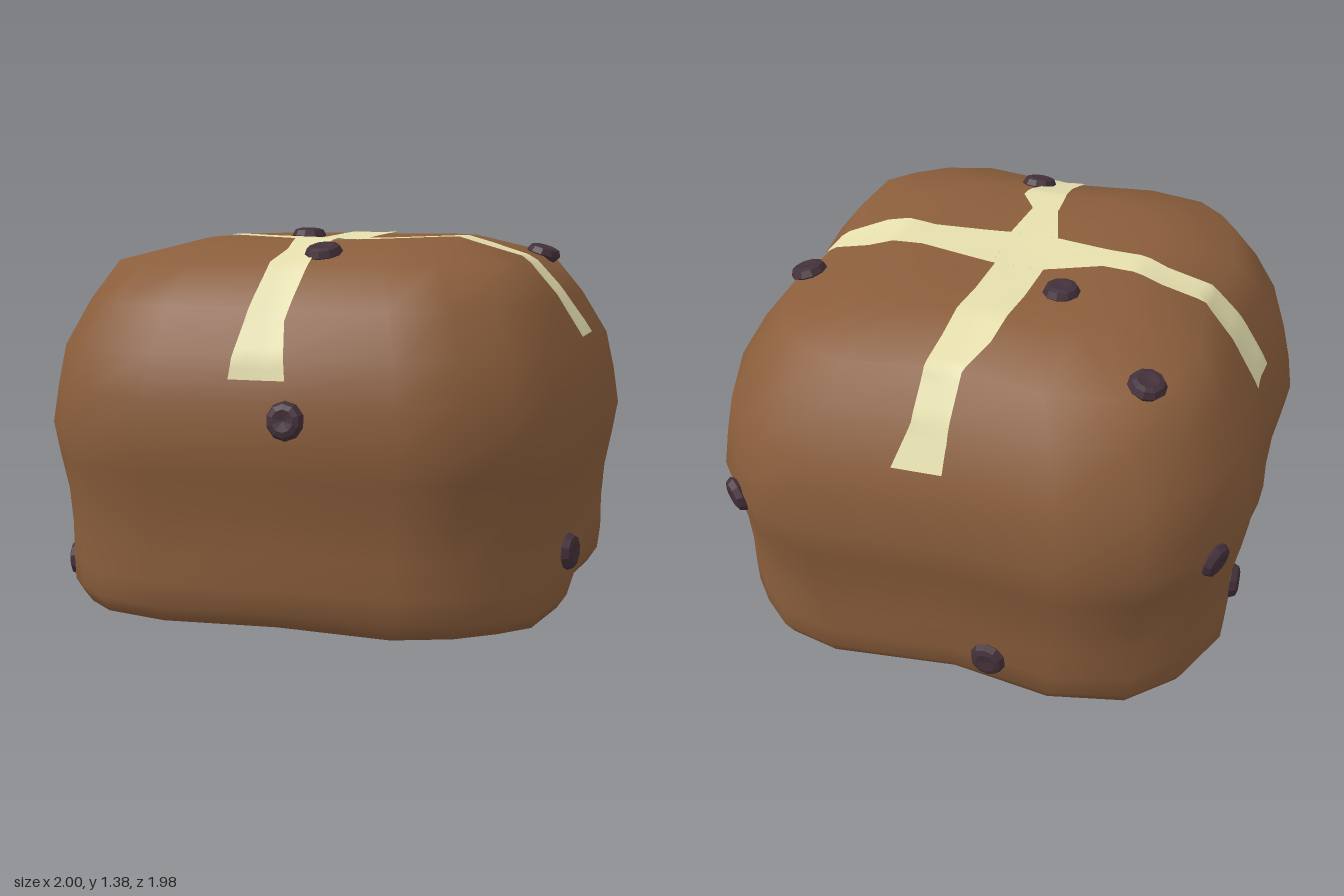
import * as THREE from 'three';

const CENTRE = new THREE.Vector3(0, 0.6, 0);
const UP = new THREE.Vector3(0, 1, 0);
const doughMat = new THREE.MeshStandardMaterial({ color: 0x8b5e3c });
const pasteMat = new THREE.MeshStandardMaterial({ color: 0xe6dfae, side: THREE.DoubleSide });
const raisinMat = new THREE.MeshStandardMaterial({ color: 0x43303a, flatShading: true });

// Widest outline of the bun as x, z, running from +x towards +z
const PLAN = [
  [0.97, 0], [0.98, 0.38], [0.91, 0.67], [0.8, 0.78], [0.66, 0.89], [0.45, 0.98], [0, 0.96],
  [-0.45, 0.97], [-0.7, 0.89], [-0.82, 0.78], [-0.91, 0.67], [-1, 0.37], [-0.96, 0], [-0.98, -0.5],
  [-0.87, -0.74], [-0.7, -0.91], [-0.41, -0.99], [0, -0.95], [0.5, -0.98], [0.7, -0.92],
  [0.82, -0.81], [0.91, -0.7], [1, -0.42],
];

// Rings from bottom to top: scale, height, squareness of the corners
const RINGS = [
  [0.67, 0.01, 0.08], [0.88, 0.055, 0.04], [0.925, 0.11, 0.02], [0.945, 0.2, 0], [0.945, 0.32, 0],
  [0.955, 0.45, 0], [0.98, 0.58, 0], [1, 0.7, 0], [0.98, 0.84, 0], [0.945, 0.98, 0.01],
  [0.84, 1.14, 0.04], [0.715, 1.28, 0.09], [0.46, 1.355, 0.06], [0.22, 1.345, 0],
];

function makeBun() {
  const pos = [], index = [], n = PLAN.length;
  for (const [s, y, square] of RINGS) {
    for (const [x, z] of PLAN) {
      const k = s * (1 + square * Math.sin(2 * Math.atan2(z, x)) ** 2);
      pos.push(x * k, y, z * k);
    }
  }
  const bottom = pos.length / 3, top = bottom + 1, last = (RINGS.length - 1) * n;
  pos.push(0, 0, 0, 0, 1.335, 0);
  for (let i = 0; i < n; i++) {
    const j = (i + 1) % n;
    for (let r = 0; r < last; r += n) {
      index.push(r + i, r + n + i, r + j, r + j, r + n + i, r + n + j);
    }
    index.push(bottom, i, j, top, last + j, last + i);
  }
  const g = new THREE.BufferGeometry();
  g.setAttribute('position', new THREE.Float32BufferAttribute(pos, 3));
  g.setIndex(index);
  g.computeVertexNormals();
  const bun = new THREE.Mesh(g, doughMat);
  bun.name = 'bun';
  return bun;
}

// Point and normal of the bun's skin in the direction of p from its centre
function onSkin(bun, p) {
  const dir = p.clone().sub(CENTRE).normalize();
  const ray = new THREE.Raycaster(dir.clone().multiplyScalar(4).add(CENTRE), dir.clone().negate());
  const hit = ray.intersectObject(bun)[0];
  return { point: hit.point, normal: hit.face.normal.clone() };
}

// Sheet of paste laid on the skin; at(u, v) gives a rough position
function paste(bun, name, nu, nv, at) {
  const pos = [], index = [];
  for (let i = 0; i <= nu; i++) {
    for (let j = 0; j <= nv; j++) {
      const { point, normal } = onSkin(bun, at(i / nu, j / nv));
      pos.push(...point.addScaledVector(normal, 0.007).toArray());
      if (i < nu && j < nv) {
        const a = i * (nv + 1) + j, b = a + nv + 1;
        index.push(a, a + 1, b, b, a + 1, b + 1);
      }
    }
  }
  const g = new THREE.BufferGeometry();
  g.setAttribute('position', new THREE.Float32BufferAttribute(pos, 3));
  g.setIndex(index);
  g.computeVertexNormals();
  const mesh = new THREE.Mesh(g, pasteMat);
  mesh.name = name;
  return mesh;
}

// Arms: rows of distance from the middle, height, and the two edges across
const ARMS = [
  { name: 'crossArmFront', axis: 'z', sign: 1, rows: [
    [0.13, 1.34, -0.11, 0.07], [0.32, 1.35, -0.06, 0.04], [0.41, 1.35, -0.06, 0.1],
    [0.56, 1.32, -0.05, 0.06], [0.69, 1.28, -0.07, 0.07], [0.84, 1.1, -0.11, 0.03], [0.94, 0.915, -0.14, 0.06]] },
  { name: 'crossArmBack', axis: 'z', sign: -1, rows: [
    [0.1, 1.34, -0.12, 0.06], [0.3, 1.35, -0.11, 0.07], [0.57, 1.32, -0.07, 0.1],
    [0.7, 1.28, -0.01, 0.12], [0.82, 1.13, 0, 0.13], [0.92, 1.0, 0, 0.18]] },
  { name: 'crossArmLeft', axis: 'x', sign: 1, rows: [
    [0.07, 1.34, -0.1, 0.13], [0.35, 1.35, -0.06, 0.09], [0.54, 1.32, -0.09, 0.11],
    [0.68, 1.28, -0.07, 0.06], [0.84, 1.12, -0.1, 0.06], [0.92, 1.0, -0.14, 0.06]] },
  { name: 'crossArmRight', axis: 'x', sign: -1, rows: [
    [0.12, 1.34, -0.1, 0.13], [0.32, 1.35, -0.03, 0.09], [0.53, 1.32, -0.06, 0.06],
    [0.7, 1.28, -0.05, 0.07], [0.8, 1.15, -0.06, 0.09], [0.93, 0.98, -0.08, 0.09]] },
];

function makeCross(bun) {
  const cross = new THREE.Group();
  cross.name = 'cross';
  for (const { name, axis, sign, rows } of ARMS) {
    cross.add(paste(bun, name, (rows.length - 1) * 6, 4, (u, v) => {
      const t = u * (rows.length - 1), i = Math.min(Math.floor(t), rows.length - 2);
      const [d, y, a, b] = rows[i].map((value, k) => THREE.MathUtils.lerp(value, rows[i + 1][k], t - i));
      const across = THREE.MathUtils.lerp(a, b, v);
      return axis === 'z' ? new THREE.Vector3(across, y, d * sign) : new THREE.Vector3(d * sign, y, across);
    }));
  }
  cross.add(paste(bun, 'crossMiddle', 6, 6, (u, v) => new THREE.Vector3(-0.12 + 0.19 * u, 1.34, -0.1 + 0.23 * v)));
  return cross;
}

// Rough centre of each raisin
const RAISINS = [
  [0.07, 0.79, 0.98], [0.09, 1.31, 0.59], [-0.22, 1.34, -0.23], [-0.61, 1.28, -0.61],
  [0.7, 1.27, -0.25], [0.81, 0.67, -0.82], [0.94, 0.27, 0.4], [-0.9, 0.67, -0.69],
  [-0.95, 0.27, -0.35], [-0.91, 0.15, 0.55], [-0.16, 0.2, -0.94],
];

function makeRaisins(bun) {
  const raisins = new THREE.Group();
  raisins.name = 'raisins';
  const profile = [[0, -0.03], [0.05, -0.025], [0.067, 0], [0.056, 0.022], [0.038, 0.028], [0, 0.022]];
  const g = new THREE.LatheGeometry(profile.map(([x, y]) => new THREE.Vector2(x, y)), 10);
  RAISINS.forEach((p, i) => {
    const { point, normal } = onSkin(bun, new THREE.Vector3(...p));
    const raisin = new THREE.Mesh(g, raisinMat);
    raisin.name = `raisin${i + 1}`;
    raisin.position.copy(point).addScaledVector(normal, 0.004);
    raisin.quaternion.setFromUnitVectors(UP, normal);
    raisins.add(raisin);
  });
  return raisins;
}

export function createModel() {
  const model = new THREE.Group();
  model.name = 'crossBun';
  const bun = makeBun();
  model.add(bun, makeCross(bun), makeRaisins(bun));
  return model;
}
